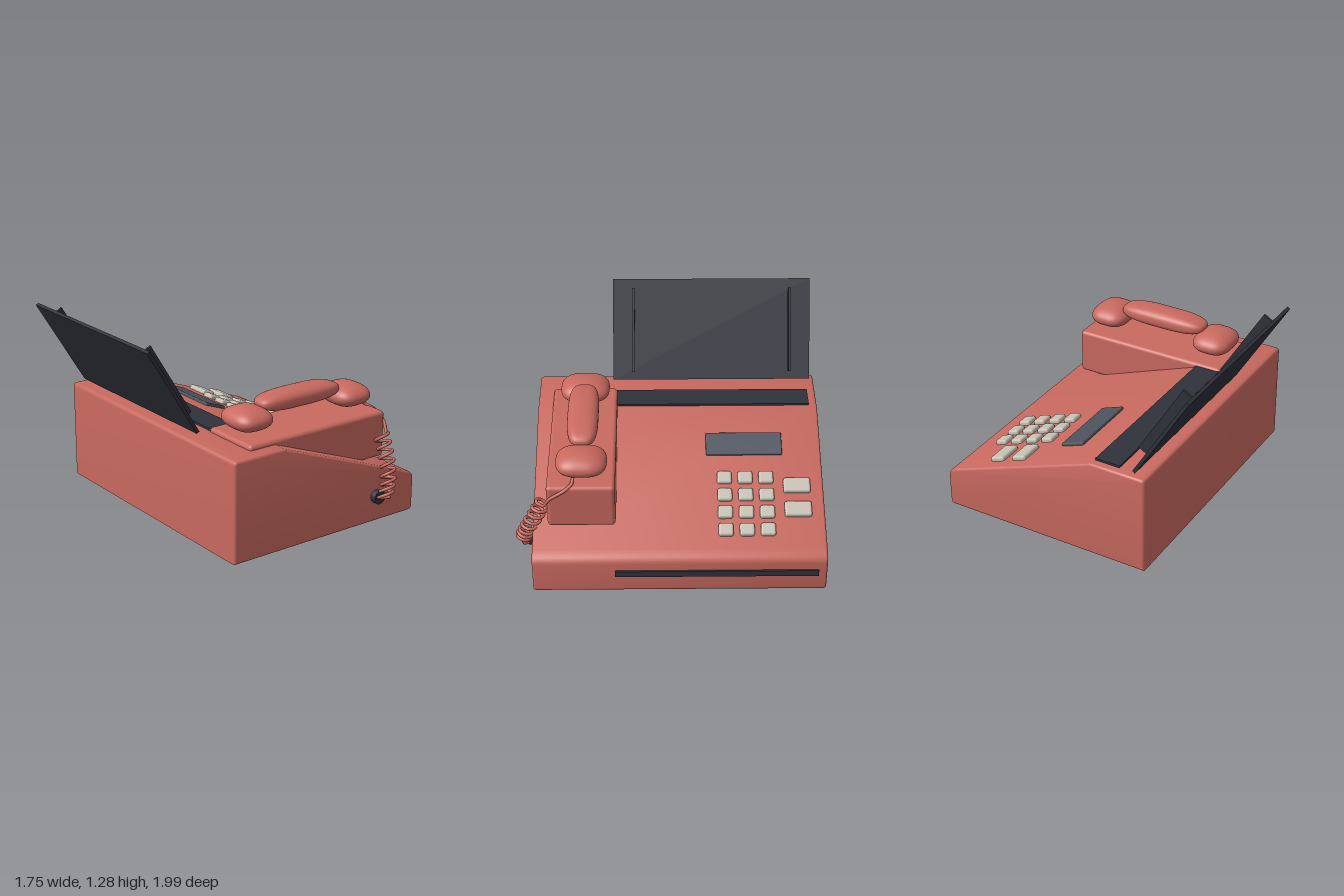
import * as THREE from 'three';
import { toCreasedNormals } from 'three/addons/utils/BufferGeometryUtils.js';
import { RoundedBoxGeometry } from 'three/addons/geometries/RoundedBoxGeometry.js';

const material = (name, color) => {
  const m = new THREE.MeshStandardMaterial({ color });
  m.name = name;
  return m;
};

export function createModel() {
  const coral = material('coral', 0xc8695f);
  const charcoal = material('charcoal', 0x30323c);
  const slate = material('slate', 0x4d535e);
  const ivory = material('ivory', 0xc6c0b3);

  const model = new THREE.Group();
  model.name = 'deskPhone';

  const add = (name, geometry, mat, x = 0, y = 0, z = 0, parent = model) => {
    const mesh = new THREE.Mesh(geometry, mat);
    mesh.name = name;
    mesh.position.set(x, y, z);
    parent.add(mesh);
    return mesh;
  };

  // Wedge body: side profile extruded across z, with a small bevel all round
  const b = 0.015;
  const profile = new THREE.Shape();
  profile.moveTo(-0.6 + b, b);
  profile.lineTo(0.845 - b, b);
  profile.quadraticCurveTo(0.86 - b, b, 0.86 - b, 0.015 + b);
  profile.lineTo(0.86 - b, 0.225);
  profile.quadraticCurveTo(0.86 - b, 0.255, 0.79, 0.274);
  profile.lineTo(-0.222, 0.67 - b);
  profile.lineTo(-0.59 + b, 0.67 - b);
  profile.quadraticCurveTo(-0.6 + b, 0.67 - b, -0.6 + b, 0.66 - b);
  profile.closePath();
  const bodyGeometry = new THREE.ExtrudeGeometry(profile, {
    depth: 1.87 - 2 * b, bevelEnabled: true, bevelSize: b, bevelThickness: b,
    bevelSegments: 3, curveSegments: 6,
  });
  bodyGeometry.translate(0, 0, -1 + b);
  add('body', toCreasedNormals(bodyGeometry, 0.6), coral);

  // Cradle block under the handset
  add('cradle', new RoundedBoxGeometry(1.09, 0.31, 0.43, 4, 0.025), coral, 0.135, 0.545, 0.555);

  // Paper slot on top and trim strip on the front edge
  add('paperSlot', new THREE.BoxGeometry(0.17, 0.03, 1.32), charcoal, -0.315, 0.669, -0.285);
  add('frontStrip', new THREE.BoxGeometry(0.03, 0.045, 1.29), charcoal, 0.856, 0.152, -0.3);

  // Sloped control panel: local x runs down the slope, local y is its normal
  const slope = Math.atan2(0.38, 1.01);
  const panel = new THREE.Group();
  panel.name = 'controlPanel';
  panel.position.set(-0.217, 0.668, 0);
  panel.rotation.z = -slope;
  model.add(panel);
  const along = (x) => (x + 0.217) / Math.cos(slope);

  add('display', new RoundedBoxGeometry(0.168, 0.04, 0.5, 2, 0.008), slate, along(0.062), 0, -0.495, panel);
  const key = new RoundedBoxGeometry(0.088, 0.06, 0.096, 2, 0.016);
  for (const x of [0.305, 0.425, 0.545, 0.665])
    for (const z of [-0.63, -0.495, -0.36]) add('key', key, ivory, along(x), 0, z, panel);
  const wideKey = new RoundedBoxGeometry(0.106, 0.06, 0.175, 2, 0.016);
  for (const x of [0.362, 0.527]) add('functionKey', wideKey, ivory, along(x), 0, -0.828, panel);

  // Leaning paper support with two ribs
  const support = new THREE.Group();
  support.name = 'paperSupport';
  support.position.set(-0.69, 0.985, -0.3);
  support.rotation.z = Math.atan2(0.36, 0.593);
  model.add(support);
  add('supportPlate', new THREE.BoxGeometry(0.022, 0.685, 1.34), charcoal, 0, 0, 0, support);
  for (const side of [-1, 1])
    add('supportRib', new THREE.BoxGeometry(0.08, 0.568, 0.016), charcoal, 0.043, -0.003, side * 0.53, support);

  // Handset: spheres squared off by raising their direction cosines to a power
  const blob = (rx, ry, rz, vertical, horizontal) => {
    const pow = (v, e) => Math.sign(v) * Math.abs(v) ** e;
    const g = new THREE.SphereGeometry(1, 48, 28);
    const p = g.attributes.position;
    for (let i = 0; i < p.count; i++) {
      const y = THREE.MathUtils.clamp(p.getY(i), -1, 1);
      const ring = Math.sqrt(1 - y * y);
      const c = ring > 1e-5 ? p.getX(i) / ring : 0;
      const s = ring > 1e-5 ? p.getZ(i) / ring : 0;
      const r = pow(ring, vertical);
      p.setXYZ(i, rx * r * pow(c, horizontal), ry * pow(y, vertical), rz * r * pow(s, horizontal));
    }
    g.computeVertexNormals();
    return g;
  };
  const earGeometry = blob(0.136, 0.078, 0.161, 1, 0.7);
  add('earpiece', earGeometry, coral, -0.27, 0.794, 0.55);
  add('mouthpiece', earGeometry, coral, 0.525, 0.794, 0.55);
  add('handle', blob(0.315, 0.063, 0.1, 0.8, 0.6), coral, 0.125, 0.862, 0.55);

  // Coiled cord from the mouthpiece to the jack on the side
  const axis = new THREE.CatmullRomCurve3([
    [0.635, 0.56, 0.79], [0.625, 0.42, 0.86], [0.59, 0.28, 0.92], [0.545, 0.18, 0.945],
  ].map((p) => new THREE.Vector3(...p)));
  const path = [[0.61, 0.75, 0.6], [0.65, 0.71, 0.61], [0.685, 0.68, 0.66], [0.69, 0.62, 0.75]]
    .map((p) => new THREE.Vector3(...p));
  const turns = 8, steps = turns * 10;
  for (let i = 0; i <= steps; i++) {
    const t = i / steps, a = t * turns * Math.PI * 2;
    const c = axis.getPoint(t);
    c.x += 0.044 * Math.cos(a);
    c.y += 0.018 * Math.sin(a);
    c.z += 0.042 * Math.sin(a);
    path.push(c);
  }
  path.push(new THREE.Vector3(0.535, 0.17, 0.9));
  add('cord', new THREE.TubeGeometry(new THREE.CatmullRomCurve3(path), 320, 0.011, 8), coral);

  const jack = add('cordJack', new THREE.CylinderGeometry(0.045, 0.045, 0.06, 20), charcoal, 0.535, 0.175, 0.88);
  jack.rotation.x = Math.PI / 2;

  return model;
}
